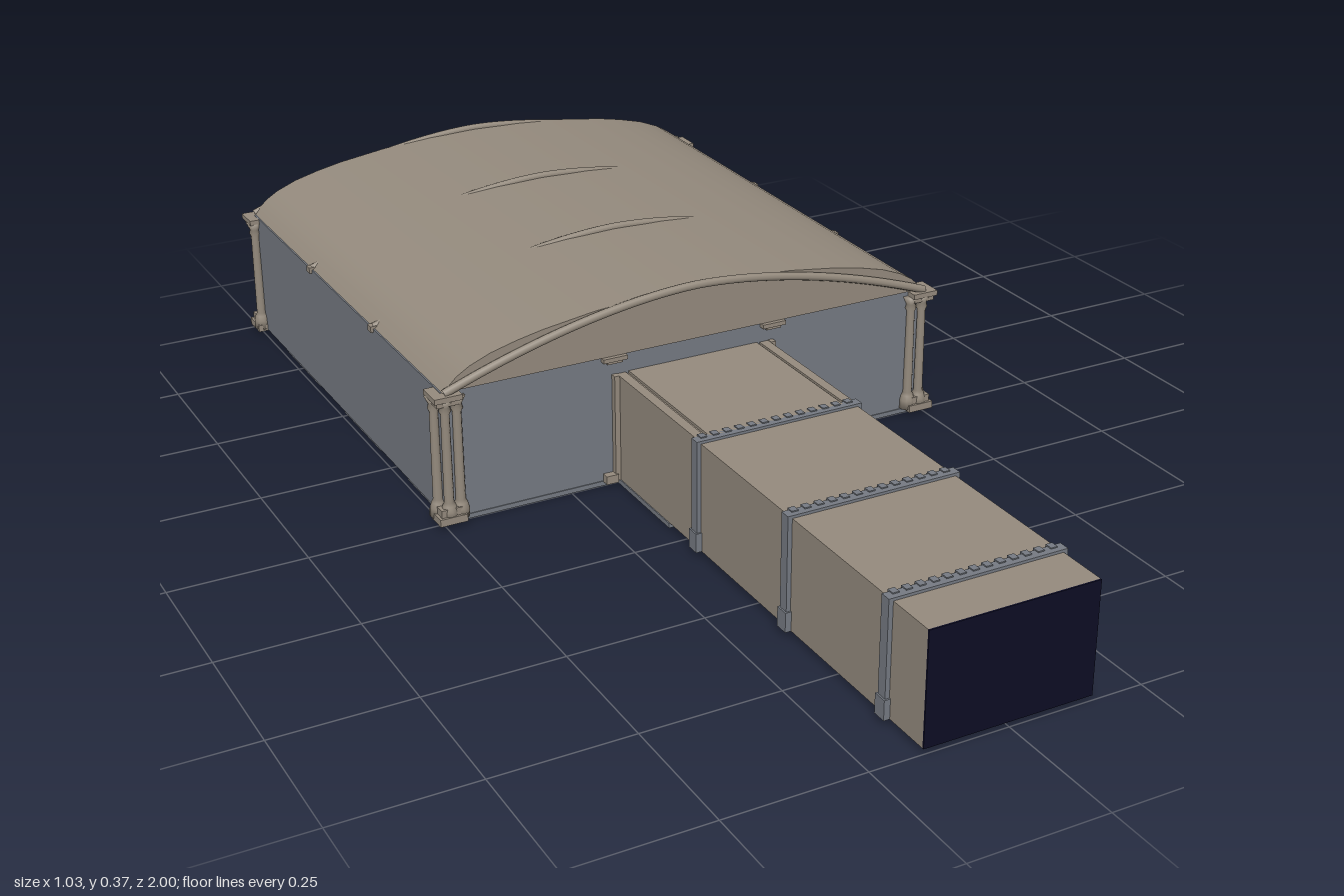
import * as THREE from 'three';
import { toCreasedNormals } from 'three/addons/utils/BufferGeometryUtils.js';

const mat = (name, color) => {
  const m = new THREE.MeshStandardMaterial({ color });
  m.name = name;
  return m;
};

export function createModel() {
  const root = new THREE.Group();
  root.name = 'archedHall';
  const stone = mat('warmStone', 0x948a7d);
  const slate = mat('slateBlue', 0x757a82);
  const navy = mat('darkNavy', 0x0c0c24);

  const add = (name, geo, m, x = 0, y = 0, z = 0, parent = root) => {
    const mesh = new THREE.Mesh(geo, m);
    mesh.name = name;
    mesh.position.set(x, y, z);
    parent.add(mesh);
    return mesh;
  };
  // Box given by its minimum and maximum corners
  const box = (name, m, x0, x1, y0, y1, z0, z1, parent = root) =>
    add(name, new THREE.BoxGeometry(x1 - x0, y1 - y0, z1 - z0), m,
      (x0 + x1) / 2, (y0 + y1) / 2, (z0 + z1) / 2, parent);

  const FRONT = 0, BACK = -0.98, TOP = 0.255;
  const bays = [0.008, -0.32, -0.645, -0.988];

  // Outer walls with stone lining on the inside
  box('frontWall', slate, -0.495, 0.495, 0.01, TOP, FRONT - 0.01, FRONT);
  box('backWall', slate, -0.495, 0.495, 0.01, TOP, BACK, BACK + 0.01);
  box('frontLining', stone, -0.485, 0.485, 0.012, TOP, FRONT - 0.015, FRONT - 0.01);
  box('backLining', stone, -0.485, 0.485, 0.012, TOP, BACK + 0.01, BACK + 0.015);
  for (const s of [-1, 1]) {
    const wall = (name, m, a, b, y0) =>
      box(name, m, Math.min(s * a, s * b), Math.max(s * a, s * b), y0, TOP, BACK + 0.01, FRONT - 0.01);
    wall('sideWall', slate, 0.485, 0.495, 0.01);
    wall('sideLining', stone, 0.48, 0.485, 0.012);
  }

  // Roof shell, one cross-section drawn along the hall
  const half = [[0.492, 0.255], [0.482, 0.265], [0.465, 0.281], [0.44, 0.296], [0.4, 0.312],
    [0.35, 0.325], [0.3, 0.335], [0.2, 0.349], [0.1, 0.357]];
  const outer = [...half, [0, 0.36], ...half.slice().reverse().map(([x, y]) => [-x, y])]
    .map(([x, y]) => new THREE.Vector2(x, y));
  const inner = outer.map(p => new THREE.Vector2(p.x * 0.98, p.y - 0.008)).reverse();
  const extrude = (pts, depth) => toCreasedNormals(
    new THREE.ExtrudeGeometry(new THREE.Shape(pts), { depth, bevelEnabled: false }), 0.5);
  add('roof', extrude([...outer, ...inner], 0.99), stone, 0, 0, -0.985);
  add('frontGable', extrude(outer, 0.01), stone, 0, 0, FRONT - 0.006);
  add('backGable', extrude(outer, 0.01), stone, 0, 0, BACK - 0.006);

  // Arched ribs: trim on the gables, crests showing through the roof between
  const archPoints = [];
  for (let i = -12; i <= 12; i++) {
    const x = i / 12 * 0.492;
    archPoints.push(new THREE.Vector3(x, 0.361 - 0.106 * Math.pow(Math.abs(i / 12), 1.75), 0));
  }
  const arch = new THREE.TubeGeometry(new THREE.CatmullRomCurve3(archPoints), 48, 0.008, 8);
  bays.forEach(z => add('archRib', arch, stone, 0, 0, z));

  // Column turned from a profile: foot, shaft and flared capital
  const column = new THREE.LatheGeometry([[0, 0.012], [0.015, 0.012], [0.015, 0.03], [0.012, 0.04],
    [0.009, 0.046], [0.008, 0.215], [0.011, 0.222], [0.009, 0.23], [0.016, 0.245], [0, 0.245]]
    .map(([r, y]) => new THREE.Vector2(r, y)), 10);

  // Clustered columns on the four corners
  for (const sx of [-1, 1]) for (const sz of [-1, 1]) {
    const corner = new THREE.Group();
    corner.name = 'cornerPier';
    corner.position.set(sx * 0.488, 0, sz > 0 ? -0.004 : -0.976);
    for (const [x, z] of [[-0.021, 0.008], [0.002, 0.01], [0.014, -0.012]])
      add('cornerColumn', column, stone, sx * x, 0, sz * z, corner);
    for (const [y0, y1, r] of [[0.008, 0.022, 0.026], [0.022, 0.036, 0.021],
      [0.234, 0.244, 0.021], [0.244, 0.254, 0.026]])
      box(y0 < 0.1 ? 'pierBase' : 'pierCapital', stone, -r, r, y0, y1, -r, r, corner);
    root.add(corner);
  }

  // Inner wall columns, their cap ends, and the low side vents
  for (const s of [-1, 1]) {
    for (const z of bays.slice(1, 3)) {
      add('innerColumn', column, stone, s * 0.465, 0, z);
      box('columnCap', stone, s * 0.48 - 0.02, s * 0.48 + 0.02, 0.248, 0.26, z - 0.008, z + 0.008);
    }
    for (const z of [-0.25, -0.58, -0.91]) for (let i = 0; i < 4; i++)
      box('ventSlat', navy, s * 0.478 - 0.003, s * 0.478 + 0.003,
        0.03 + i * 0.014, 0.039 + i * 0.014, z - 0.035, z + 0.035);
  }

  // Floor strips with open gaps between, and the threshold plate
  for (const z of [0, -0.325, -0.65])
    box('floorStrip', slate, -0.49, 0.49, 0, 0.009, z - 0.19, z);
  box('threshold', slate, -0.157, 0.157, 0, 0.009, 0, 0.2);

  // Entrance tunnel with a dark open end
  box('tunnel', stone, -0.155, 0.155, 0.009, 0.213, 0, 0.997);
  box('tunnelMouth', navy, -0.155, 0.155, 0.009, 0.213, 0.997, 1);
  box('tunnelRoofPanel', stone, -0.132, 0.132, 0.213, 0.218, 0, 0.3);
  for (const s of [-1, 1])
    box('roofRail', stone, s * 0.147 - 0.009, s * 0.147 + 0.009, 0.213, 0.217, 0, 0.3);

  // Bands round the tunnel, with feet and small studs on top
  for (const z of [0.303, 0.603, 0.895]) {
    const band = new THREE.Group();
    band.name = 'tunnelBand';
    band.position.z = z;
    box('bandTop', slate, -0.163, 0.163, 0.209, 0.218, -0.01, 0.01, band);
    for (const s of [-1, 1]) {
      box('bandSide', slate, s * 0.158 - 0.005, s * 0.158 + 0.005, 0.009, 0.218, -0.01, 0.01, band);
      box('bandFoot', slate, s * 0.159 - 0.007, s * 0.159 + 0.007, 0.009, 0.045, -0.013, 0.013, band);
    }
    for (let i = -6; i <= 6; i++)
      box('stud', slate, i * 0.024 - 0.006, i * 0.024 + 0.006, 0.212, 0.22, -0.014, 0, band);
    root.add(band);
  }

  // Door surround and the small brackets under the gable
  for (const s of [-1, 1]) {
    box('doorJamb', stone, s * 0.161 - 0.005, s * 0.161 + 0.005, 0.01, 0.218, 0, 0.012);
    box('jambFoot', stone, s * 0.174 - 0.012, s * 0.174 + 0.012, 0.008, 0.024, 0, 0.015);
    box('gableBracket', stone, s * 0.163 - 0.024, s * 0.163 + 0.024, 0.247, 0.255, 0, 0.012);
    box('gableBracketTip', stone, s * 0.163 - 0.015, s * 0.163 + 0.015, 0.242, 0.247, 0, 0.009);
  }
  return root;
}
